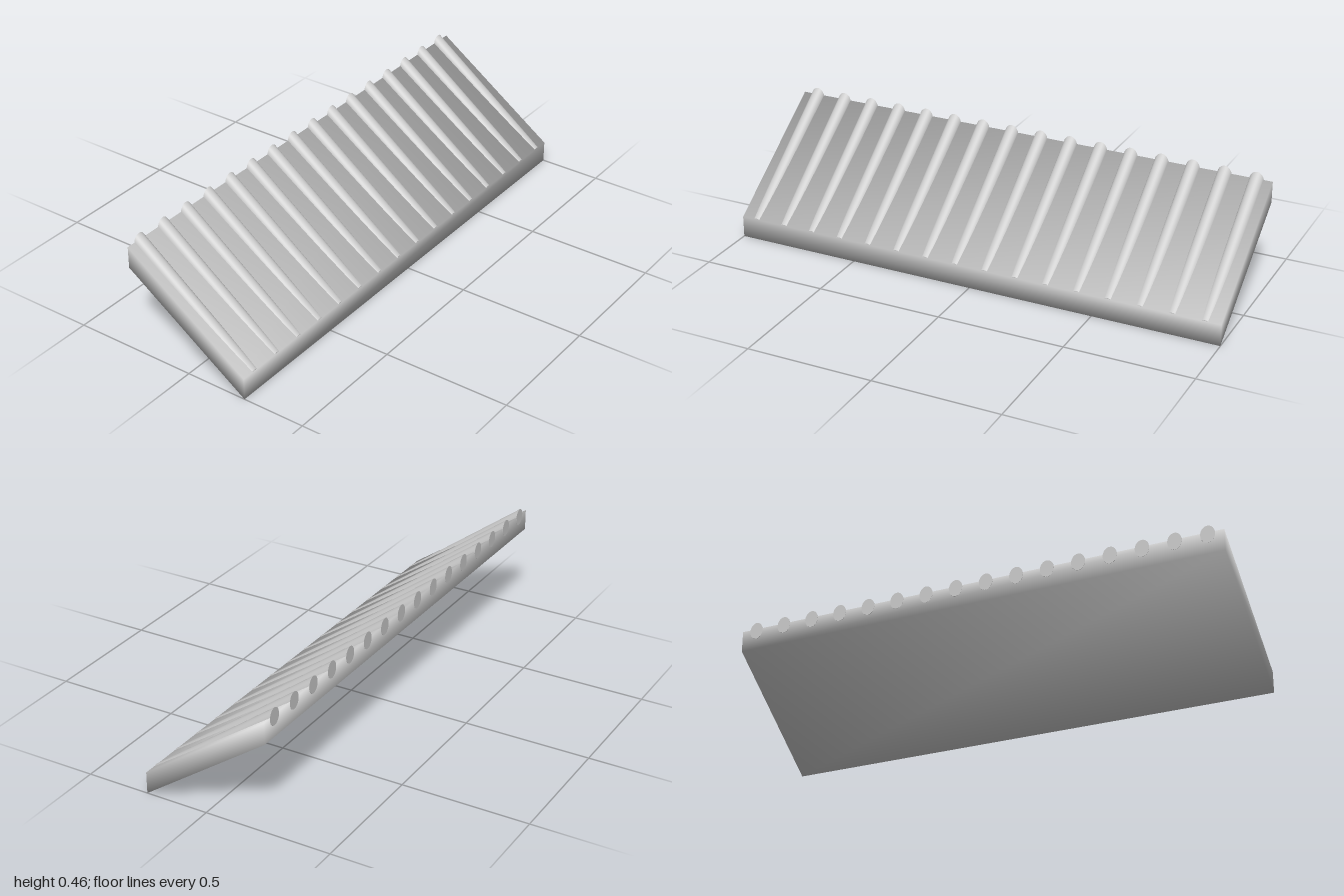
import * as THREE from 'three';

const LENGTH = 2, DEPTH = 0.5, THICKNESS = 0.085;
const SLAB_SLOPE = 0.7, RIB_SLOPE = 0.748;
const RIB_COUNT = 16, RIB_SPACING = 0.125;

// Lean a geometry so that it climbs towards the back while its ends stay upright
function lean(geometry, slope, centreY) {
  return geometry.applyMatrix4(new THREE.Matrix4().set(
    1, 0, 0, 0,
    0, 1, -slope, centreY,
    0, 0, 1, 0,
    0, 0, 0, 1));
}

// Sloping slab with soft, angle-weighted normals shared at its eight corners
function slabGeometry() {
  const geometry = new THREE.BoxGeometry(LENGTH, THICKNESS, DEPTH);
  const position = geometry.attributes.position;
  const face = new THREE.Vector3(0, 1, SLAB_SLOPE).normalize();
  const obtuse = (Math.PI / 2 + Math.atan(SLAB_SLOPE)) / (Math.PI / 2);
  const n = new THREE.Vector3();
  for (let i = 0; i < position.count; i++) {
    const sx = Math.sign(position.getX(i));
    const sy = Math.sign(position.getY(i));
    const sz = Math.sign(position.getZ(i));
    const endWeight = sy === sz ? obtuse : 2 - obtuse;
    n.set(sx * endWeight, sy * face.y, sy * face.z + sz).normalize();
    geometry.attributes.normal.setXYZ(i, n.x, n.y, n.z);
  }
  const normals = geometry.attributes.normal.clone();
  lean(geometry, SLAB_SLOPE, 0.2175);
  geometry.setAttribute('normal', normals);
  return geometry;
}

// Round rib, slightly steeper than the slab so it sinks into it at the front
function ribGeometry() {
  const geometry = new THREE.CylinderGeometry(1, 1, DEPTH - 0.001, 32);
  geometry.rotateX(-Math.PI / 2);
  geometry.scale(0.028, 0.034, 1);
  geometry.translate(0, 0, -0.001);
  return lean(geometry, RIB_SLOPE, 0.241);
}

export function createModel() {
  const model = new THREE.Group();
  model.name = 'ribbedRoof';
  const material = new THREE.MeshStandardMaterial({ color: 0xcccccc });

  const slab = new THREE.Mesh(slabGeometry(), material);
  slab.name = 'roofSlab';
  model.add(slab);

  // Evenly spaced row of ribs
  const ribs = new THREE.Group();
  ribs.name = 'ribs';
  const geometry = ribGeometry();
  for (let i = 0; i < RIB_COUNT; i++) {
    const rib = new THREE.Mesh(geometry, material);
    rib.name = 'rib';
    rib.position.x = (i - (RIB_COUNT - 1) / 2) * RIB_SPACING;
    ribs.add(rib);
  }
  model.add(ribs);
  return model;
}
